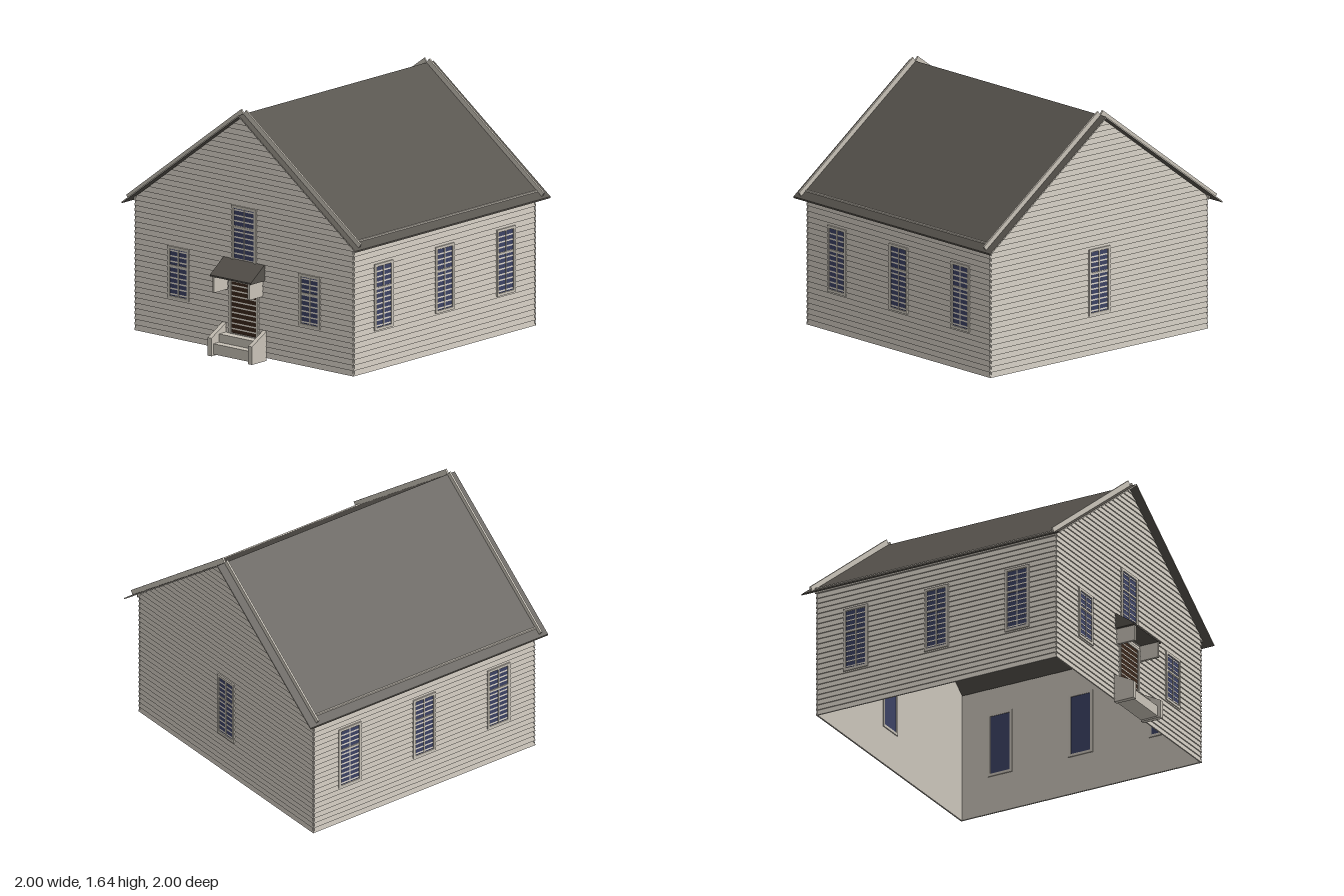
import * as THREE from 'three';

const mat = (name, color, side = THREE.FrontSide) => {
  const m = new THREE.MeshStandardMaterial({ color, side });
  m.name = name;
  return m;
};

const EAVE = 0.905, RIDGE = 1.6, SLOPE = 0.745, HALF = 0.935, FOOT = 0.02;
const ROW = 0.036, LIP = 0.008;

export function createModel() {
  const model = new THREE.Group();
  const siding = mat('stone beige siding', 0xcac4ba, THREE.DoubleSide);
  const trim = mat('beige trim', 0xc9c3b8);
  const shingle = mat('dark grey shingle', 0x56524c);
  const glass = mat('navy glass', 0x3c4264);
  const wood = mat('dark brown wood', 0x3a271c);

  const add = (parent, name, geometry, material) => {
    const mesh = new THREE.Mesh(geometry, material);
    mesh.name = name;
    parent.add(mesh);
    return mesh;
  };
  // Box given by its lower and upper corner
  const box = (parent, name, material, x0, x1, y0, y1, z0, z1) => {
    const mesh = add(parent, name, new THREE.BoxGeometry(x1 - x0, y1 - y0, z1 - z0), material);
    mesh.position.set((x0 + x1) / 2, (y0 + y1) / 2, (z0 + z1) / 2);
    return mesh;
  };
  const shapeOf = (points) => new THREE.Shape(points.map(([x, y]) => new THREE.Vector2(x, y)));
  const extrude = (points, depth) =>
    new THREE.ExtrudeGeometry(shapeOf(points), { depth, bevelEnabled: false });

  // Overlapping boards: each row leans out to a lip at its lower edge
  const clapboards = (widthAt, top) => {
    const p = [];
    const quad = (a, b, c, d) => p.push(...a, ...b, ...c, ...a, ...c, ...d);
    for (let y = FOOT; y < top - 0.001; y += ROW) {
      const y1 = Math.min(y + ROW, top), w0 = widthAt(y), w1 = widthAt(y1);
      quad([-w0, y, LIP], [w0, y, LIP], [w1, y1, 0], [-w1, y1, 0]);
      quad([-w0, y, 0], [w0, y, 0], [w0, y, LIP], [-w0, y, LIP]);
    }
    const g = new THREE.BufferGeometry();
    g.setAttribute('position', new THREE.Float32BufferAttribute(p, 3));
    g.computeVertexNormals();
    return g;
  };

  // A wall faces its own +z: boards outside, smooth lining inside
  const wall = (name, widthAt, outline, top, x, z, turn) => {
    const g = new THREE.Group();
    g.name = name;
    g.position.set(x, 0, z);
    g.rotation.y = turn;
    add(g, 'clapboards', clapboards(widthAt, top), siding);
    add(g, 'lining', new THREE.ShapeGeometry(shapeOf(outline)), siding).position.z = -0.002;
    model.add(g);
    return g;
  };

  // Panel with a surround, set so the board lips show across it
  const opening = (parent, name, material, x, y0, y1, w) => {
    const g = new THREE.Group();
    g.name = name;
    g.position.x = x;
    parent.add(g);
    const h = w / 2, t = 0.018;
    box(g, 'panel', material, -h, h, y0, y1, -0.005, 0.006);
    for (const s of [-1, 1]) {
      const c = s * (h + t / 2);
      box(g, 'jamb', trim, c - t / 2, c + t / 2, y0 - t, y1 + t, -0.009, 0.013);
    }
    box(g, 'head', trim, -h, h, y1, y1 + t, -0.009, 0.013);
    box(g, 'sill', trim, -h, h, y0 - t, y0, -0.009, 0.013);
    return g;
  };
  const sashWindow = (parent, x, y0, y1, w = 0.145) => {
    const g = opening(parent, 'window', glass, x, y0, y1, w);
    const rail = y0 + (y1 - y0) * 0.64;
    box(g, 'muntin', trim, -0.004, 0.004, y0, y1, 0.004, 0.01);
    box(g, 'meetingRail', trim, -w / 2, w / 2, rail - 0.007, rail + 0.007, 0.004, 0.011);
  };

  // Gable walls
  const gableWidth = (y) => Math.max(0, Math.min(HALF, (RIDGE - y) / SLOPE));
  const gable = [[-HALF, FOOT], [HALF, FOOT], [HALF, EAVE], [0, RIDGE], [-HALF, EAVE]];
  const front = wall('frontWall', gableWidth, gable, RIDGE, 0, 0.853, 0);
  for (const s of [-1, 1]) sashWindow(front, s * 0.56, 0.3, 0.612);
  sashWindow(front, 0, 0.62, 0.972, 0.175);
  opening(front, 'door', wood, 0, 0.14, 0.482, 0.216);
  const back = wall('backWall', gableWidth, gable, RIDGE, 0, -0.923, Math.PI);
  sashWindow(back, 0, 0.3, 0.706);

  // Side walls
  const D = 0.893;
  for (const s of [-1, 1]) {
    const side = wall(s > 0 ? 'leftWall' : 'rightWall', () => D,
      [[-D, FOOT], [D, FOOT], [D, EAVE], [-D, EAVE]], EAVE, s * 0.927, -0.035, s * Math.PI / 2);
    for (const x of [-0.6, 0, 0.6]) sashWindow(side, x, 0.3, 0.706);
  }

  // Roof slopes, raised rake boards and eave strips
  const slopePoints = (s, x0, y0, x1, y1, t) => {
    const len = Math.hypot(x1 - x0, y1 - y0);
    const nx = (y0 - y1) / len * t, ny = (x1 - x0) / len * t;
    return [[x0, y0], [x1, y1], [x1 + nx, y1 + ny], [x0 + nx, y0 + ny]].map(([x, y]) => [s * x, y]);
  };
  for (const s of [-1, 1]) {
    const roof = new THREE.Group();
    roof.name = s > 0 ? 'leftRoof' : 'rightRoof';
    model.add(roof);
    const slab = [[0, 1.6], [s * 0.998, 0.862], [s * 0.998, 0.872], [0, 1.61]];
    add(roof, 'roofSlope', extrude(slab, 1.915), [trim, shingle]).position.z = -1;
    const rake = slopePoints(s, 0, 1.61, 0.98, 0.88, 0.035);
    for (const z of [0.855, -0.943])
      add(roof, 'rakeBoard', extrude(rake, 0.012), trim).position.z = z;
    const x = s * 0.942;
    box(roof, 'eaveStrip', trim, x - 0.006, x + 0.006, 0.88, 0.918, -0.932, 0.855);
  }

  // Door canopy: a shed wedge on two cheeks
  const canopy = new THREE.Group();
  canopy.name = 'canopy';
  model.add(canopy);
  const wedge = add(canopy, 'canopyRoof',
    extrude([[-0.855, 0.528], [-0.855, 0.638], [-0.995, 0.538], [-0.995, 0.528]], 0.35), shingle);
  wedge.rotation.y = Math.PI / 2;
  wedge.position.x = -0.175;
  for (const s of [-1, 1])
    box(canopy, 'canopyCheek', trim, s * 0.15 - 0.008, s * 0.15 + 0.008, 0.422, 0.53, 0.855, 0.99);

  // Front steps between sloping side walls
  const steps = new THREE.Group();
  steps.name = 'frontSteps';
  model.add(steps);
  box(steps, 'landing', trim, -0.16, 0.16, 0.01, 0.135, 0.855, 0.925);
  box(steps, 'lowerStep', trim, -0.16, 0.16, 0.01, 0.08, 0.925, 0.98);
  for (const s of [-1, 1]) {
    const cheek = add(steps, 'stepWall',
      extrude([[-0.855, 0], [-0.855, 0.197], [-1, 0.12], [-1, 0]], 0.032), trim);
    cheek.rotation.y = Math.PI / 2;
    cheek.position.x = s * 0.173 - 0.016;
  }
  return model;
}
